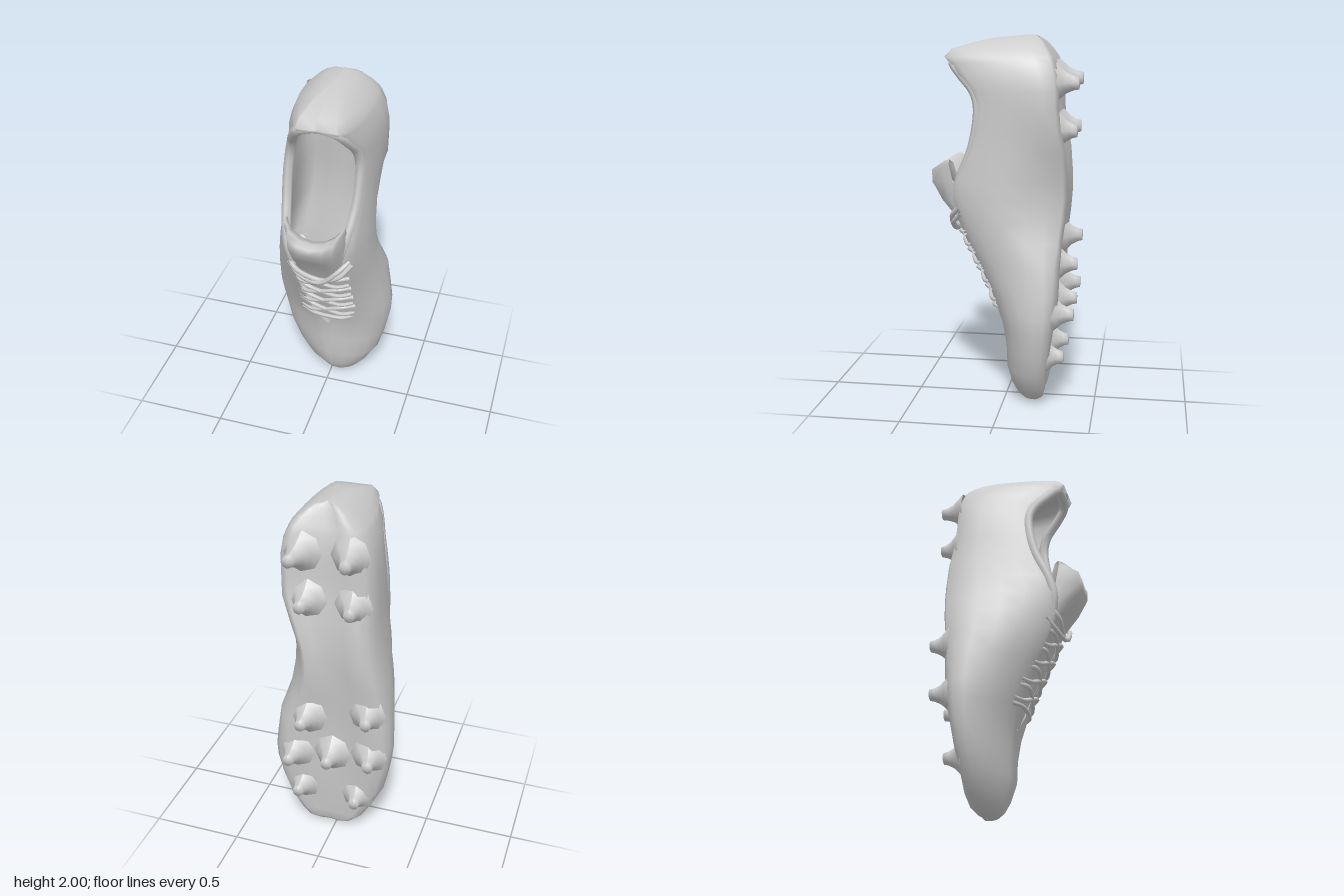
import * as THREE from 'three';

const grey = () => new THREE.MeshStandardMaterial({ color: 0xcccccc, side: THREE.DoubleSide });

// Skin over rows of equally many [x, y, z] points
function loft(rows, name, flip = false) {
  const n = rows[0].length, idx = [];
  for (let i = 0; i < rows.length - 1; i++) {
    for (let j = 0; j < n - 1; j++) {
      const a = i * n + j, b = a + 1, c = a + n, d = c + 1;
      if (flip) idx.push(a, c, b, b, c, d);
      else idx.push(a, b, c, b, d, c);
    }
  }
  const geo = new THREE.BufferGeometry();
  geo.setAttribute('position', new THREE.Float32BufferAttribute(rows.flat(2), 3));
  geo.setIndex(idx);
  geo.computeVertexNormals();
  const mesh = new THREE.Mesh(geo, grey());
  mesh.name = name;
  return mesh;
}

function tube(points, radius, name, segments = 16) {
  const curve = new THREE.CatmullRomCurve3(points.map(p => new THREE.Vector3(...p)));
  const mesh = new THREE.Mesh(new THREE.TubeGeometry(curve, segments, radius, 6), grey());
  mesh.name = name;
  return mesh;
}

// Stations from toe to heel: y, right x, left x, sole z, top z, half width of the throat or flat top
const stations = [
  [0, 0.05, 0.05, -0.16, -0.14, 0],
  [0.008, -0.03, 0.11, -0.19, -0.1, 0],
  [0.04, -0.09, 0.16, -0.22, -0.07, 0.01],
  [0.1, -0.16, 0.21, -0.235, -0.04, 0.02],
  [0.2, -0.22, 0.27, -0.245, -0.015, 0.03],
  [0.32, -0.28, 0.305, -0.265, -0.01, 0.03],
  [0.45, -0.31, 0.33, -0.285, 0.01, 0.04],
  [0.54, -0.325, 0.333, -0.3, 0.04, 0.055],
  [0.64, -0.335, 0.32, -0.31, 0.075, 0.07],
  [0.8, -0.325, 0.298, -0.315, 0.15, 0.085],
  [0.92, -0.31, 0.29, -0.32, 0.21, 0.1],
  [1.04, -0.292, 0.284, -0.335, 0.255, 0.115],
  [1.15, -0.268, 0.278, -0.345, 0.27, 0.145],
  [1.25, -0.252, 0.273, -0.345, 0.245, 0.165],
  [1.4, -0.235, 0.267, -0.335, 0.18, 0.185],
  [1.52, -0.23, 0.268, -0.31, 0.15, 0.19],
  [1.64, -0.222, 0.272, -0.3, 0.14, 0.185],
  [1.72, -0.212, 0.272, -0.3, 0.165, 0.17],
  [1.8, -0.197, 0.262, -0.295, 0.235, 0.14],
  [1.86, -0.172, 0.24, -0.28, 0.285, 0.1],
  [1.89, -0.155, 0.225, -0.268, 0.31, 0.1],
  [1.93, -0.115, 0.19, -0.243, 0.27, 0.09],
  [1.965, -0.07, 0.145, -0.215, 0.15, 0.06],
  [1.985, -0.03, 0.11, -0.19, 0.06, 0.03],
  [2, 0.04, 0.04, -0.16, -0.1, 0],
];

// Value of one station column at height y
function at(y, col) {
  let i = 1;
  while (i < stations.length - 1 && stations[i][0] < y) i++;
  const a = stations[i - 1], b = stations[i];
  return THREE.MathUtils.lerp(a[col], b[col], (y - a[0]) / (b[0] - a[0]));
}

// Smooth hump around y = c, zero beyond the given reach
const hump = (y, c, reach) => Math.max(0, 1 - ((y - c) / reach) ** 2);

// Half section: [width from throat to side, height from sole to top]
const wall = [[0, 1], [0.2, 0.98], [0.45, 0.9], [0.71, 0.75], [0.91, 0.55], [1, 0.34], [0.985, 0.17]];
const base = [[0.9, 0.04], [0.74, 0], [0.4, 0.05]];

function section([y, x0, x1, zb, zt, g], inset = 0) {
  const cx = (x0 + x1) / 2, hw = Math.max((x1 - x0) / 2 - inset, Math.min(g, (x1 - x0) / 2));
  const bottom = zb + inset * 2, h = zt - bottom;
  const closed = inset === 0 && (y < 0.5 || y > 1.87);
  // The inner side of the arch is drawn in towards the sole; the sole is hollow between the studs
  const arch = 0.48 * hump(y, 1.15, 0.33);
  const hollow = 0.08 + 0.08 * hump(y, 0.58, 0.3);
  // The left wall is fuller than the right one
  const side = bulge => [
    [closed ? 0 : g, 1],
    ...wall.map(([p, w]) => [g + (hw - g) * p ** bulge, w]),
    ...base.map(([p, w]) => [hw * p, w * hollow / 0.08]),
  ];
  const left = side(0.85).map(([x, w]) => [cx + x * (1 - arch * Math.max(0, 1 - w / 0.5)), y, bottom + h * w]);
  const right = side(1.3).map(([x, w]) => [cx - x, y, bottom + h * w]).reverse();
  return [...left, [cx, y, bottom + h * hollow], ...right];
}

function makeTongue() {
  // Centre line: y, z, half width, rise of the corners, depth of the sides
  const line = [
    [0.48, 0.0, 0.07, 0, 0.02], [0.64, 0.06, 0.1, 0, 0.03], [0.8, 0.135, 0.12, 0, 0.03],
    [0.92, 0.195, 0.13, 0, 0.03], [1.04, 0.265, 0.135, 0, 0.04], [1.13, 0.34, 0.145, 0, 0.09],
    [1.21, 0.395, 0.155, 0.03, 0.13], [1.25, 0.395, 0.16, 0.08, 0.11], [1.265, 0.36, 0.16, 0.09, 0.08],
    [1.25, 0.31, 0.155, 0.09, 0.05], [1.16, 0.24, 0.15, 0.05, 0.02], [1.04, 0.19, 0.13, 0, 0.02],
  ];
  const rows = line.map(([y, z, hw, rise, depth]) => [1, 0.95, 0.75, 0.4, 0, -0.4, -0.75, -0.95, -1].map(s =>
    [0.022 + s * hw, y + rise * s * s, z - depth * s ** 8]));
  return loft(rows, 'tongue');
}

// Rolled edge following both sides of the opening and the heel tab
function makeCollar() {
  const heights = [1.04, 1.15, 1.25, 1.4, 1.52, 1.64, 1.72, 1.8, 1.86];
  const side = s => heights.map(y =>
    [(at(y, 1) + at(y, 2)) / 2 + s * (at(y, 5) - 0.002), y, at(y, 4) - 0.02]);
  return tube([...side(1), [0.035, 1.885, 0.27], ...side(-1).reverse()], 0.027, 'collar', 60);
}

function makeLaces() {
  const laces = new THREE.Group();
  laces.name = 'laces';
  const z = y => at(y, 4) + 0.008;
  const cross = (xa, ya, xb, yb) => {
    const ym = (ya + yb) / 2;
    laces.add(tube([[xa, ya, z(ya) - 0.035], [xa * 0.6 + 0.01, ya, z(ya)], [0.02, ym, z(ym) + 0.01],
      [xb * 0.6 + 0.01, yb, z(yb)], [xb, yb, z(yb) - 0.035]], 0.012, 'lace'));
  };
  // Crossed rows with a straight bar at the bottom
  cross(-0.13, 0.56, 0.16, 0.55);
  for (const y of [0.59, 0.69, 0.79, 0.89]) {
    cross(-0.13, y, 0.18, y + 0.07);
    cross(0.17, y, -0.13, y + 0.07);
  }
  // Slack top loops
  laces.add(tube([[-0.15, 1.09, 0.22], [-0.1, 1.03, 0.27], [0.03, 0.97, 0.265], [0.14, 1.01, 0.27], [0.2, 1.07, 0.22]], 0.014, 'laceLoop'));
  laces.add(tube([[-0.15, 1.02, 0.21], [-0.08, 0.97, 0.25], [0.04, 0.96, 0.275], [0.13, 1.04, 0.28], [0.19, 1.1, 0.23]], 0.014, 'laceLoop'));
  return laces;
}

// Tapered stud flaring into the sole: x, y, tip z, sideways lean
function makeStud([x, y, tip, lean]) {
  const root = at(y, 3) + 0.035, h = root - tip;
  const profile = [[0, 1], [0.032, 1], [0.038, 0.78], [0.055, 0.5], [0.08, 0.28], [0.115, 0]]
    .map(([r, t]) => new THREE.Vector2(r, t * h));
  const geo = new THREE.LatheGeometry(profile, 8);
  const p = geo.attributes.position;
  for (let i = 0; i < p.count; i++) p.setX(i, p.getX(i) * 0.9 + lean * p.getY(i));
  geo.rotateX(-Math.PI / 2);
  geo.computeVertexNormals();
  const mesh = new THREE.Mesh(geo, grey());
  mesh.position.set(x, y, root);
  mesh.name = 'stud';
  return mesh;
}

export function createModel() {
  const boot = new THREE.Group();
  boot.name = 'studdedBoot';
  boot.add(loft(stations.map(s => section(s)), 'upper'));

  // Lining with insole, closed behind the heel
  const inner = stations.filter(s => s[0] > 0.85 && s[0] < 1.87);
  const rows = inner.map(s => section(s, 0.035));
  rows.push(rows[rows.length - 1].map(([x, , z]) => [0.035 + (x - 0.035) * 0.6, 1.89, z]));
  rows.push(rows[rows.length - 1].map(([, , z]) => [0.035, 1.9, z]));
  boot.add(loft(rows, 'lining', true));

  boot.add(makeTongue(), makeCollar(), makeLaces());

  const studs = new THREE.Group();
  studs.name = 'studs';
  const places = [
    [-0.11, 1.77, -0.4, -0.1], [0.14, 1.76, -0.4, 0.2], [-0.13, 1.51, -0.39, -0.1], [0.11, 1.51, -0.39, 0.1],
    [-0.21, 0.88, -0.4, -0.2], [0.12, 0.8, -0.4, 0.1], [-0.01, 0.57, -0.39, 0],
    [-0.22, 0.6, -0.39, -0.2], [0.2, 0.54, -0.39, 0.1],
    [-0.14, 0.28, -0.335, -0.1], [0.17, 0.29, -0.335, 0.1],
  ];
  for (const place of places) studs.add(makeStud(place));
  boot.add(studs);
  return boot;
}
